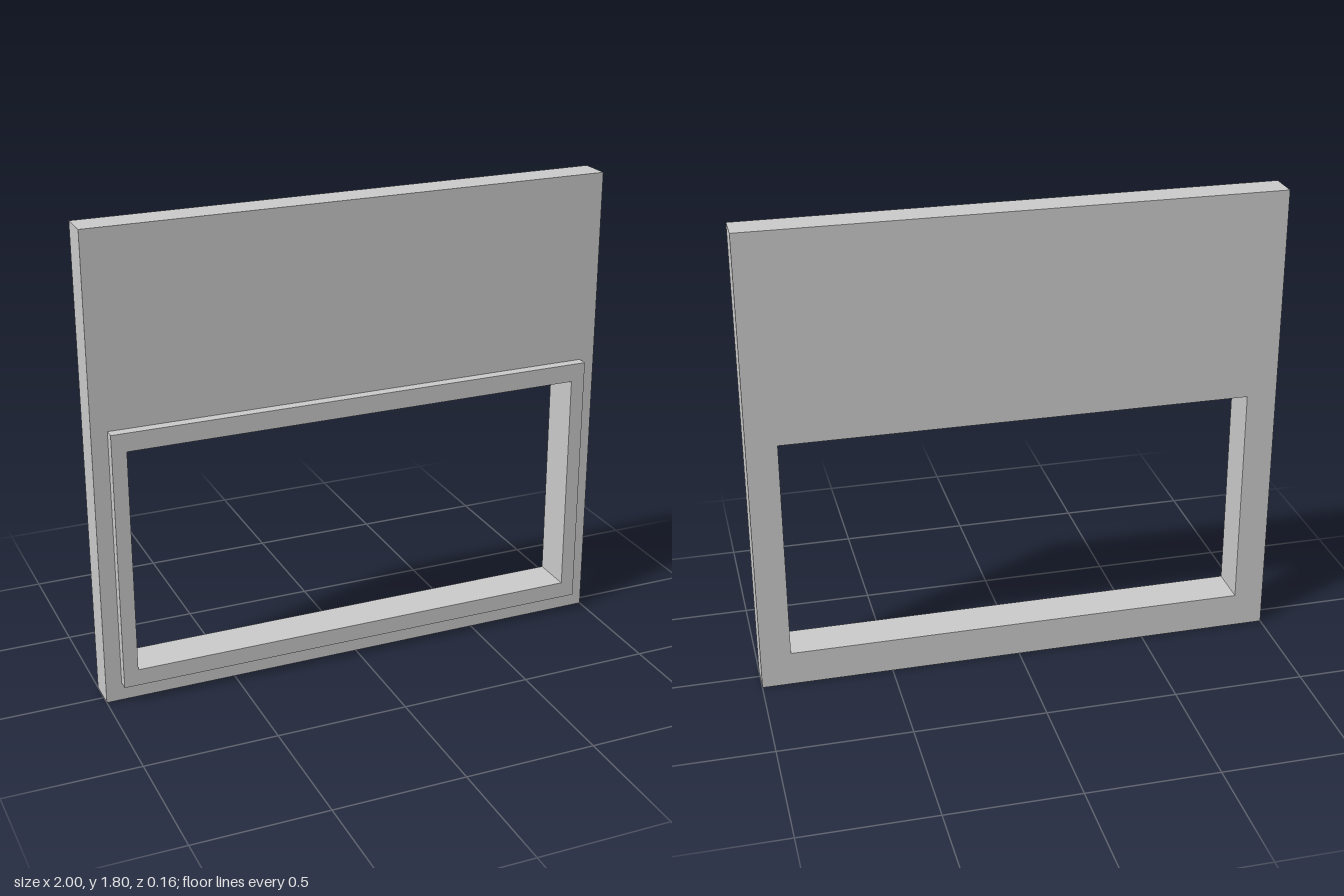
import * as THREE from 'three';

const OPENING = { x: 0.885, bottom: 0.134, top: 1.0 };

// Rectangular path, symmetric about x = 0
function rectangle(path, halfWidth, bottom, top) {
  path.moveTo(-halfWidth, bottom);
  path.lineTo(halfWidth, bottom);
  path.lineTo(halfWidth, top);
  path.lineTo(-halfWidth, top);
  path.closePath();
  return path;
}

// Flat panel pierced by the window opening, spanning zBack to zFront
function piercedPanel(name, halfWidth, bottom, top, zBack, zFront, material) {
  const shape = rectangle(new THREE.Shape(), halfWidth, bottom, top);
  shape.holes.push(rectangle(new THREE.Path(), OPENING.x, OPENING.bottom, OPENING.top));
  const geometry = new THREE.ExtrudeGeometry(shape, { depth: zFront - zBack, bevelEnabled: false });
  geometry.translate(0, 0, zBack);
  const mesh = new THREE.Mesh(geometry, material);
  mesh.name = name;
  return mesh;
}

export function createModel() {
  const material = new THREE.MeshStandardMaterial({ color: 0xcccccc });
  const model = new THREE.Group();
  model.name = 'wallPanelWithWindow';

  // Wall slab with its opening
  model.add(piercedPanel('wall', 1, 0, 1.8, -0.08, 0.04, material));

  // Raised trim around the opening on the front
  model.add(piercedPanel('windowTrim', 0.94, 0.07, 1.07, 0.04, 0.08, material));

  return model;
}
